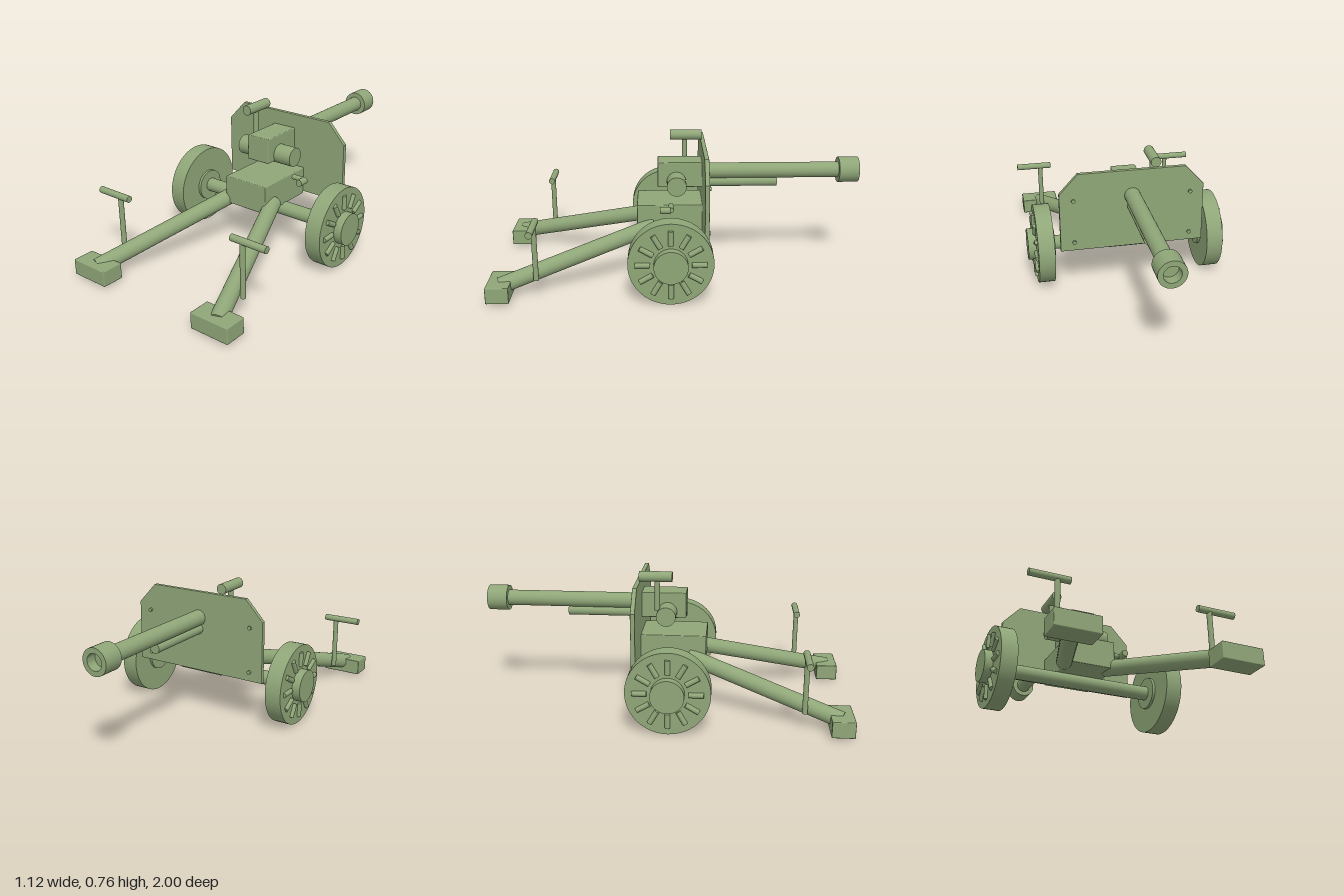
import * as THREE from 'three';
import { toCreasedNormals } from 'three/addons/utils/BufferGeometryUtils.js';
import { RoundedBoxGeometry } from 'three/addons/geometries/RoundedBoxGeometry.js';

const paint = new THREE.MeshStandardMaterial({ color: 0x8fa678 });

export function createModel() {
  const model = new THREE.Group();
  const UP = new THREE.Vector3(0, 1, 0);

  function add(name, geometry, parent = model) {
    const mesh = new THREE.Mesh(geometry, paint);
    mesh.name = name;
    parent.add(mesh);
    return mesh;
  }

  // Cylinder running from point a to point b
  function rod(name, a, b, radius, parent = model, sides = 32) {
    const start = new THREE.Vector3(...a), end = new THREE.Vector3(...b);
    const dir = end.clone().sub(start);
    const mesh = add(name, new THREE.CylinderGeometry(radius, radius, dir.length(), sides), parent);
    mesh.position.copy(start).add(end).multiplyScalar(0.5);
    mesh.quaternion.setFromUnitVectors(UP, dir.normalize());
    return mesh;
  }

  // Softly edged box given by its minimum and maximum corners
  function box(name, min, max, parent = model) {
    const size = max.map((v, i) => v - min[i]);
    const mesh = add(name, new RoundedBoxGeometry(...size, 2, 0.005), parent);
    mesh.position.set(...max.map((v, i) => (v + min[i]) / 2));
    return mesh;
  }

  // Barrel, recoil cylinder and hollow muzzle
  rod('barrel', [0, 0.567, -0.1], [0, 0.567, -0.94], 0.043);
  rod('recoilCylinder', [0, 0.504, -0.1], [0, 0.504, -0.55], 0.028);
  const profile = [[0.03, 0.89], [0.07, 0.89], [0.07, 1], [0.043, 1], [0.043, 0.945], [0, 0.945]];
  const muzzle = new THREE.LatheGeometry(profile.map(p => new THREE.Vector2(...p)), 40);
  muzzle.rotateX(-Math.PI / 2);
  add('muzzle', toCreasedNormals(muzzle, 0.6)).position.y = 0.567;

  // Breech, trunnion and carriage body
  box('breech', [-0.07, 0.492, -0.135], [0.07, 0.632, 0.113]);
  rod('trunnion', [-0.177, 0.525, 0.01], [0.175, 0.525, 0.01], 0.053);
  box('carriageBody', [-0.135, 0.252, -0.135], [0.135, 0.41, 0.227]);

  // Shield plate with clipped top corners
  const w = 0.392, bevel = 0.003;
  const outline = [[-w, 0.268], [w, 0.268], [w, 0.6], [0.291, 0.709], [-0.291, 0.709], [-w, 0.6]];
  const plate = new THREE.ExtrudeGeometry(new THREE.Shape(outline.map(p => new THREE.Vector2(...p))), {
    depth: 0.018, bevelEnabled: true, bevelSize: bevel, bevelThickness: bevel, bevelSegments: 2,
  });
  plate.translate(0, 0, -0.151);
  add('shield', plate);
  for (const x of [-0.32, 0.32]) {
    for (const y of [0.316, 0.562]) {
      rod('shieldRivet', [x, y, -0.15], [x, y, -0.164], 0.011, model, 16);
    }
  }

  // Sight on its post
  rod('sightPost', [-0.133, 0.55, -0.04], [-0.133, 0.735, -0.04], 0.014);
  rod('sight', [-0.133, 0.738, 0.042], [-0.133, 0.738, -0.136], 0.028);

  // Elevation crank
  rod('crankArm', [0.187, 0.426, 0.042], [0.265, 0.426, 0.042], 0.014);
  rod('crankHandle', [0.265, 0.426, 0.045], [0.265, 0.426, 0.1], 0.019);

  rod('axle', [-0.45, 0.222, 0.043], [0.45, 0.222, 0.043], 0.039);

  for (const side of [-1, 1]) {
    // Wheel with hub and radial ribs on the outer face
    const wheel = new THREE.Group();
    wheel.name = side > 0 ? 'leftWheel' : 'rightWheel';
    wheel.position.set(0, 0.222, 0.048);
    model.add(wheel);
    rod('tyre', [side * 0.427, 0, 0], [side * 0.517, 0, 0], 0.221, wheel, 56);
    rod('hub', [side * 0.412, 0, 0], [side * 0.562, 0, 0], 0.088, wheel, 40);
    for (let i = 0; i < 12; i++) {
      const a = i * Math.PI / 6, c = Math.cos(a), s = Math.sin(a);
      rod('rib', [side * 0.519, 0.107 * s, 0.107 * c], [side * 0.519, 0.184 * s, 0.184 * c], 0.014, wheel, 16);
    }

    // Trail leg, spade and handle
    const trail = new THREE.Group();
    trail.name = side > 0 ? 'leftTrail' : 'rightTrail';
    model.add(trail);
    rod('trailLeg', [side * 0.122, 0.288, 0.135], [side * 0.412, 0.068, 0.942], 0.044, trail);
    const spade = box('spade', [-0.112, 0.014, 0.88], [0.112, 0.102, 1], trail);
    spade.position.x = side * 0.408;
    rod('handlePost', [side * 0.409, 0.097, 0.75], [side * 0.409, 0.4, 0.75], 0.014, trail);
    rod('handleBar', [side * 0.343, 0.401, 0.75], [side * 0.553, 0.401, 0.75], 0.018, trail);
  }

  return model;
}
